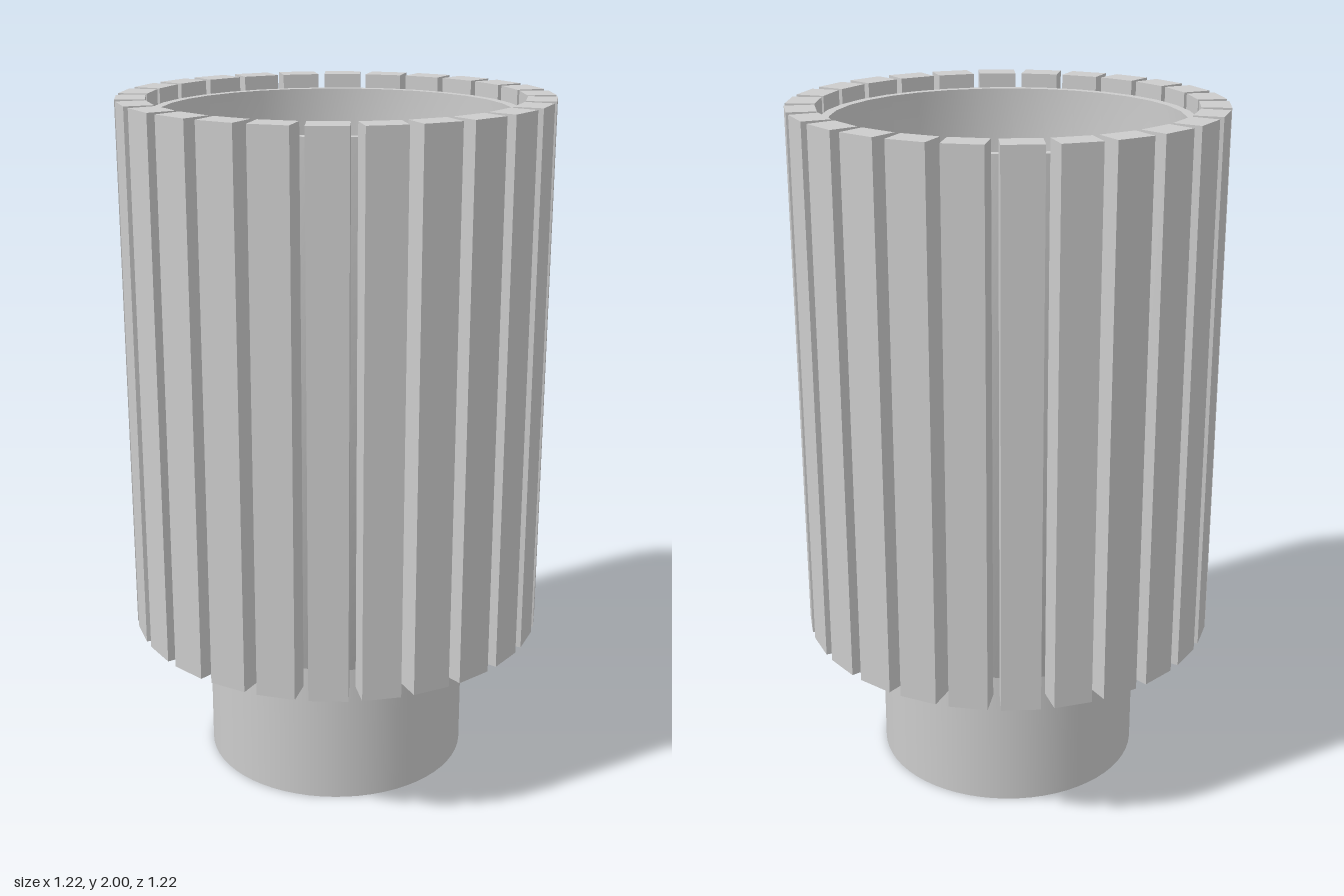
import * as THREE from 'three';

const SIDES = 32;
const SLATS = 26;

export function createModel() {
  const model = new THREE.Group();
  const grey = new THREE.MeshStandardMaterial({ color: 0xcccccc });
  const greyDouble = new THREE.MeshStandardMaterial({ color: 0xcccccc, side: THREE.DoubleSide });

  const add = (parent, name, geometry, material = grey) => {
    const mesh = new THREE.Mesh(geometry, material);
    mesh.name = name;
    parent.add(mesh);
    return mesh;
  };
  const lathe = (points) =>
    new THREE.LatheGeometry(points.map(([r, y]) => new THREE.Vector2(r, y)), SIDES);

  // Pedestal: a plain tube, open underneath
  const foot = new THREE.CylinderGeometry(0.39, 0.39, 0.49, 64, 1, true);
  add(model, 'pedestal', foot, greyDouble).position.y = 0.245;

  // Pot: outer shell, inner shell with softly shaded floor, and flat rim
  const pot = new THREE.Group();
  pot.name = 'pot';
  add(pot, 'potOutside', lathe([[0, 0.49], [0.522, 0.49], [0.522, 1.96]]));
  add(pot, 'potInside', lathe([[0.495, 1.96], [0.495, 0.52], [0, 0.52]]));
  const rim = add(pot, 'potRim', new THREE.RingGeometry(0.495, 0.522, SIDES));
  rim.rotation.x = -Math.PI / 2;
  rim.position.y = 1.96;
  model.add(pot);

  // Upright slats evenly spaced around the pot
  const slats = new THREE.Group();
  slats.name = 'slats';
  const slatGeometry = new THREE.BoxGeometry(0.083, 1.56, 0.11);
  for (let i = 0; i < SLATS; i++) {
    const angle = (i / SLATS) * Math.PI * 2;
    const slat = add(slats, 'slat', slatGeometry);
    slat.position.set(0.568 * Math.cos(angle), 1.22, 0.568 * Math.sin(angle));
    slat.rotation.y = -angle;
  }
  model.add(slats);

  return model;
}
